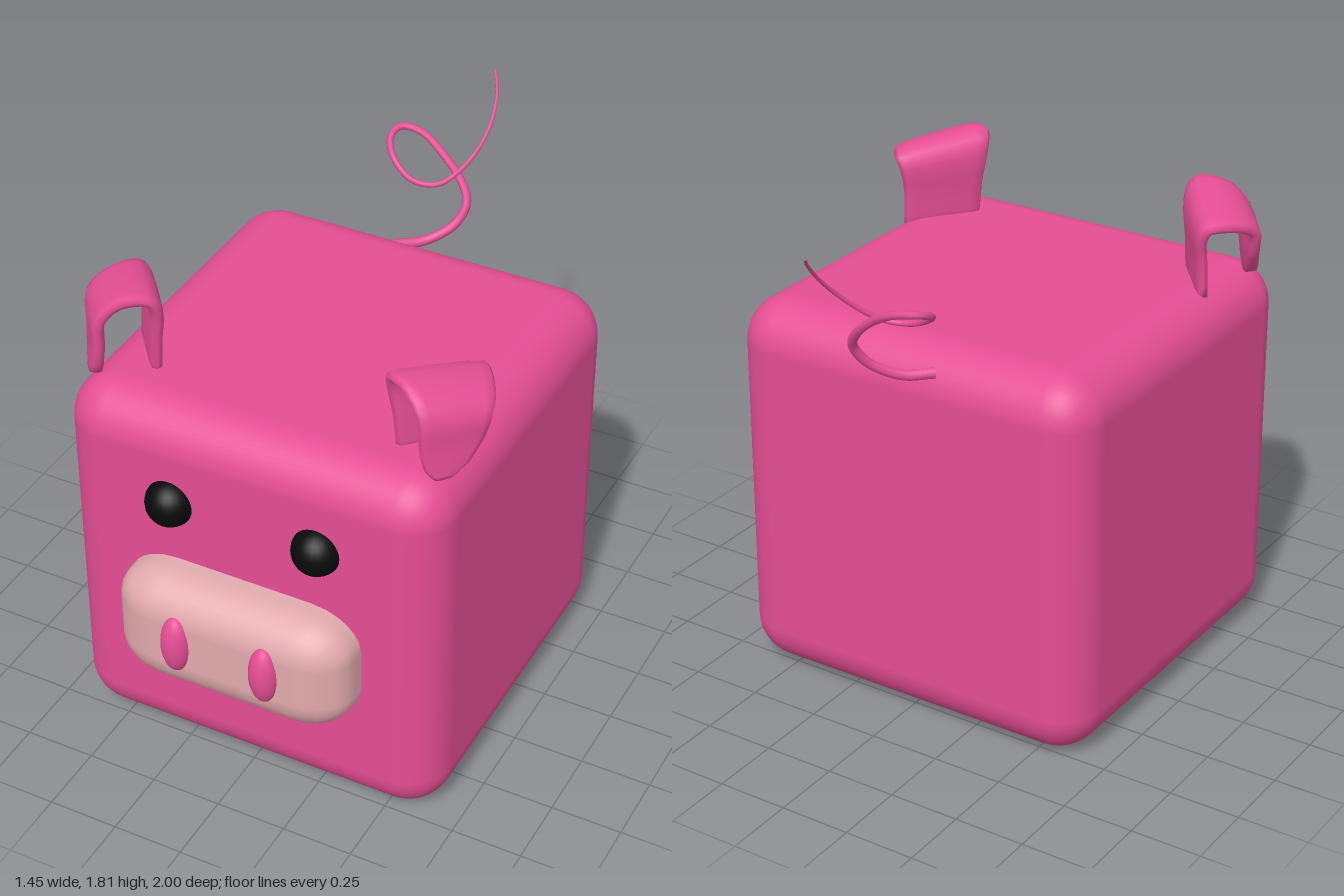
import * as THREE from 'three';
import { RoundedBoxGeometry } from 'three/addons/geometries/RoundedBoxGeometry.js';

const material = (name, color) => {
  const m = new THREE.MeshStandardMaterial({ color });
  m.name = name;
  return m;
};

// Closed skin over a list of equal-sized rings of points
function loft(rings, flip) {
  const n = rings[0].length, pos = [], idx = [];
  const tri = (a, b, c) => (flip ? idx.push(a, c, b) : idx.push(a, b, c));
  rings.forEach(r => r.forEach(p => pos.push(p.x, p.y, p.z)));
  for (let i = 0; i < rings.length - 1; i++) {
    for (let j = 0; j < n; j++) {
      const a = i * n + j, b = i * n + (j + 1) % n;
      tri(a, b, a + n);
      tri(b, b + n, a + n);
    }
  }
  // End caps
  const last = (rings.length - 1) * n;
  for (let j = 1; j < n - 1; j++) {
    tri(0, j + 1, j);
    tri(last, last + j, last + j + 1);
  }
  const g = new THREE.BufferGeometry();
  g.setAttribute('position', new THREE.Float32BufferAttribute(pos, 3));
  g.setIndex(idx);
  g.computeVertexNormals();
  return g;
}

// Folded ear: a thick strip that rises, bends outward and hangs to a narrow tip
function earGeometry(side) {
  // Each row: depth, height, ridge slope, inner edge, outer edge
  const rows = [
    [-0.01, 1.34, 0, -0.13, 0.15],
    [-0.015, 1.47, -0.03, -0.14, 0.15],
    [-0.02, 1.57, -0.1, -0.16, 0.165],
    [0.01, 1.622, -0.17, -0.175, 0.175],
    [0.1, 1.612, -0.18, -0.155, 0.15],
    [0.165, 1.56, -0.1, -0.145, 0.115],
    [0.172, 1.47, 0, -0.14, 0.085],
    [0.18, 1.395, 0, -0.125, 0.025],
    [0.185, 1.36, 0, -0.1, -0.03],
  ];
  const path = new THREE.CatmullRomCurve3(rows.map(r => new THREE.Vector3(r[0], r[1], r[2])));
  const edges = new THREE.CatmullRomCurve3(rows.map(r => new THREE.Vector3(r[3], r[4], 0)));
  const rings = [], steps = 24, sides = 12, half = 0.023;
  const soft = v => Math.sign(v) * Math.sqrt(Math.abs(v));
  for (let i = 0; i <= steps; i++) {
    const c = path.getPoint(i / steps), e = edges.getPoint(i / steps);
    const t = path.getTangent(i / steps);
    const len = Math.hypot(t.x, t.y), nd = -t.y / len, ny = t.x / len;
    const ring = [];
    for (let j = 0; j < sides; j++) {
      const a = (j / sides) * Math.PI * 2;
      const w = (e.x + e.y) / 2 + soft(Math.cos(a)) * (e.y - e.x) / 2;
      const k = soft(Math.sin(a)) * half;
      const d = c.x + nd * k;
      ring.push(new THREE.Vector3(
        side * (0.52 + 0.62 * w + 0.78 * d),
        c.y + ny * k + c.z * w,
        0.46 - 0.78 * w + 0.62 * d));
    }
    rings.push(ring);
  }
  return loft(rings, side < 0);
}

// Curly tail: a tapering tube along a looped curve
function tailGeometry() {
  const curve = new THREE.CatmullRomCurve3([
    [-0.13, 1.3, -0.55], [-0.05, 1.3, -0.62], [0.03, 1.35, -0.69], [0.055, 1.42, -0.735],
    [0.02, 1.48, -0.765], [-0.06, 1.55, -0.79], [-0.16, 1.605, -0.815], [-0.235, 1.618, -0.8],
    [-0.25, 1.6, -0.75], [-0.212, 1.56, -0.69], [-0.12, 1.508, -0.655], [-0.03, 1.505, -0.675],
    [0.03, 1.55, -0.73], [0.07, 1.62, -0.8], [0.08, 1.69, -0.87], [0.065, 1.76, -0.94],
    [0.03, 1.81, -0.998],
  ].map(p => new THREE.Vector3(...p)));
  const steps = 90, sides = 8;
  const g = new THREE.TubeGeometry(curve, steps, 1, sides, false);
  const pos = g.attributes.position, p = new THREE.Vector3();
  for (let i = 0; i <= steps; i++) {
    const c = curve.getPointAt(i / steps), r = 0.019 - 0.014 * (i / steps);
    for (let j = 0; j <= sides; j++) {
      const k = i * (sides + 1) + j;
      p.fromBufferAttribute(pos, k).sub(c).multiplyScalar(r).add(c);
      pos.setXYZ(k, p.x, p.y, p.z);
    }
  }
  return g;
}

export function createModel() {
  const group = new THREE.Group();
  const pink = material('pink skin', 0xe54e93);
  const pale = material('pale snout pink', 0xe2aaad);
  const black = material('eye black', 0x0a0a0a);

  const add = (name, geometry, mat, x = 0, y = 0, z = 0) => {
    const mesh = new THREE.Mesh(geometry, mat);
    mesh.name = name;
    mesh.position.set(x, y, z);
    group.add(mesh);
    return mesh;
  };

  add('body', new RoundedBoxGeometry(1.37, 1.37, 1.365, 5, 0.16), pink, 0, 0.685, 0.1025);
  // Snout: wider rounding along x than along y and z
  add('snout', new RoundedBoxGeometry(0.66, 0.435, 0.4, 3, 0.14), pale, 0, 0.6025, 0.76)
    .scale.x = 1.3;
  add('tail', tailGeometry(), pink);

  // Paired face parts and ears
  for (const [label, s] of [['left', 1], ['right', -1]]) {
    add(`${label}Eye`, new THREE.SphereGeometry(0.085, 24, 16), black, s * 0.267, 1.04, 0.775);
    add(`${label}Nostril`, new THREE.SphereGeometry(1, 20, 14), pink, s * 0.163, 0.613, 0.95)
      .scale.set(0.053, 0.11, 0.05);
    add(`${label}Ear`, earGeometry(s), pink);
  }
  return group;
}
